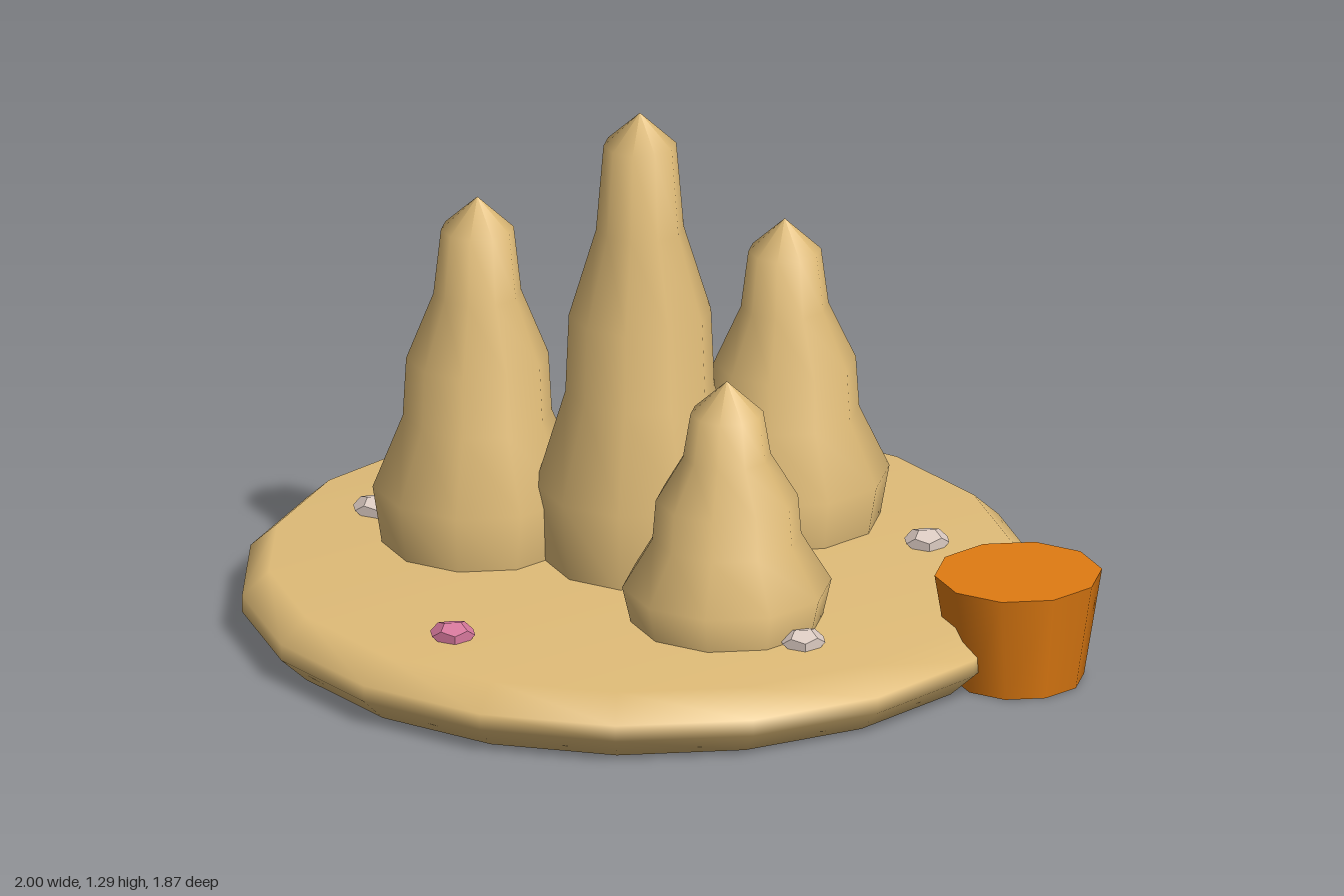
import * as THREE from 'three';

const material = (name, color) => {
  const m = new THREE.MeshStandardMaterial({ color });
  m.name = name;
  return m;
};

// Turned solid with a corner pointing along x
function turned(profile, sides, mat, name) {
  const points = profile.map(([r, y]) => new THREE.Vector2(r, y));
  const geometry = new THREE.LatheGeometry(points, sides);
  geometry.rotateY(Math.PI / 2);
  const mesh = new THREE.Mesh(geometry, mat);
  mesh.name = name;
  return mesh;
}

export function createModel() {
  const sand = material('sand', 0xe0bc78);
  const orange = material('orange', 0xe07b12);
  const pink = material('pink', 0xd6789c);
  const pale = material('pale shell', 0xdccbc2);
  const model = new THREE.Group();
  model.name = 'sandCastle';

  // Round sand base with a bevelled rim
  const base = turned(
    [[0, 0], [0.885, 0], [0.95, 0.06], [0.95, 0.1], [0.885, 0.16], [0, 0.16]],
    18, sand, 'sandBase');
  base.position.x = -0.05;
  model.add(base);

  // Dripped towers: rings stretch with height, the pointed cap stays the same
  const rings = [[0.225, 0], [0.25, 0.2], [0.178, 0.42], [0.17, 0.6], [0.105, 0.8], [0.087, 1]];
  const foot = 0.14, cap = 0.08;
  const towers = [[-0.05, 0, 1.29], [-0.42, -0.16, 1.03], [0.32, -0.215, 0.92], [0.11, 0.42, 0.763]];
  for (const [x, z, tip] of towers) {
    const profile = rings.map(([r, f]) => [r, foot + f * (tip - cap - foot)]);
    const tower = turned([...profile, [0, tip]], 10, sand, 'sandTower');
    tower.position.set(x, 0, z);
    model.add(tower);
  }

  // Bucket beside the base
  const bucketShape = new THREE.CylinderGeometry(0.2, 0.157, 0.265, 10);
  bucketShape.rotateY(Math.PI / 2);
  const bucket = new THREE.Mesh(bucketShape, orange);
  bucket.name = 'bucket';
  bucket.position.set(0.8, 0.1325, 0.47);
  model.add(bucket);

  // Flattened shells scattered on the sand
  const shellShape = new THREE.DodecahedronGeometry(0.055);
  shellShape.scale(1, 0.5, 1);
  const shells = [
    [-0.55, 0.47, pink], [0.13, -0.665, pink],
    [-0.64, -0.36, pale], [0.635, 0, pale], [0.27, 0.61, pale],
  ];
  for (const [x, z, mat] of shells) {
    const shell = new THREE.Mesh(shellShape, mat);
    shell.name = 'shell';
    shell.position.set(x, 0.17, z);
    model.add(shell);
  }
  return model;
}
